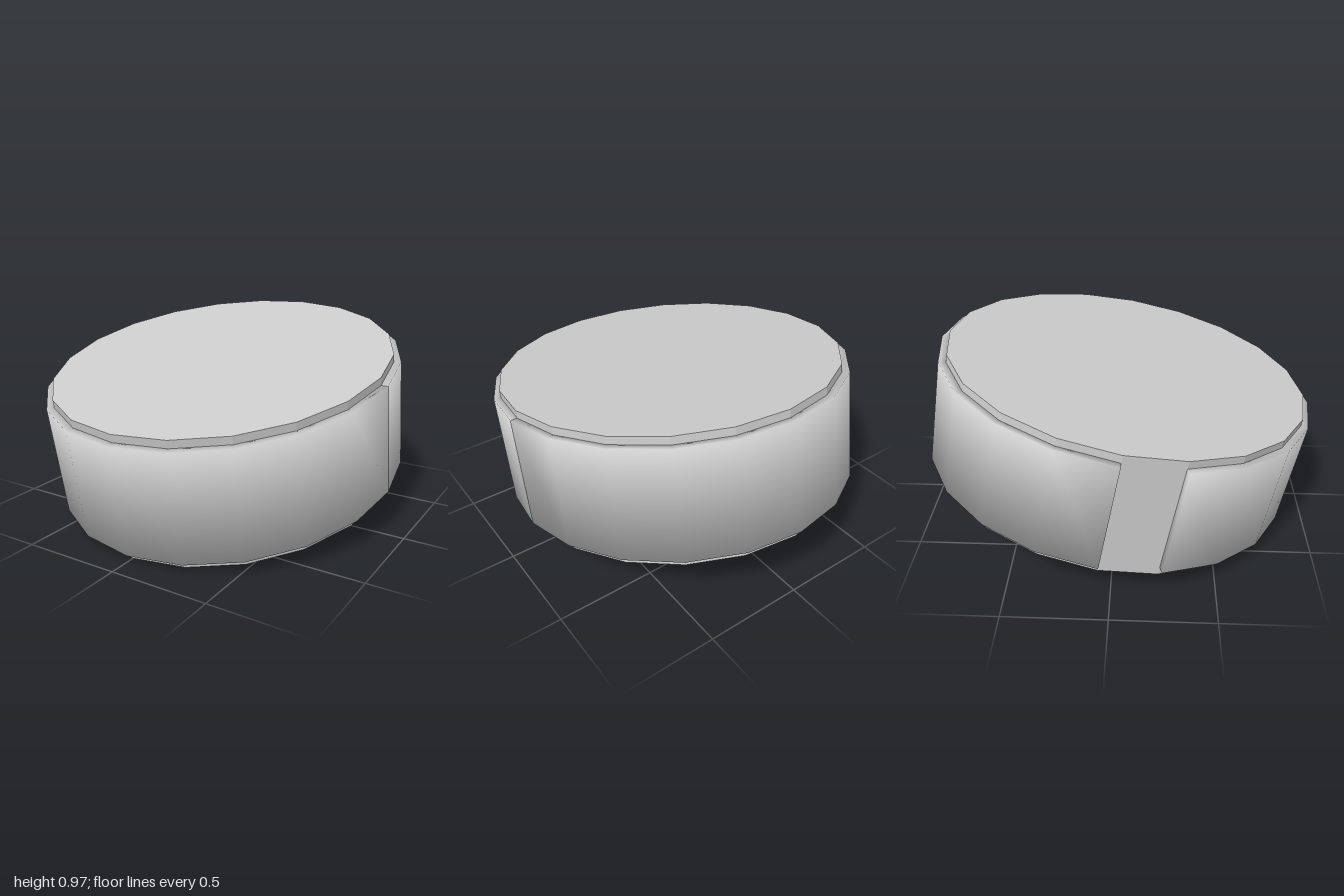
import * as THREE from 'three';

const SIDES = 20;
const STEP = (Math.PI * 2) / SIDES;
const TILT = 0.18;

// Curved band wall: a rectangular section swept around an ellipse, softly shaded across its edges
function bandGeometry(first, count) {
  const outer = [0.89, 0.963], inner = [0.852, 0.922], half = 0.285;
  const corners = [[outer, -1, 1], [outer, 1, 1], [inner, 1, -1], [inner, -1, -1]];
  const pos = [], nor = [], idx = [];
  for (let i = 0; i <= count; i++) {
    const a = (first + i) * STEP, c = Math.cos(a), s = Math.sin(a);
    const end = i === 0 ? -1 : i === count ? 1 : 0;
    for (const [r, up, out] of corners) {
      pos.push(r[0] * c, up * half, r[1] * s);
      const n = new THREE.Vector3(out * c - end * s, up, out * s + end * c).normalize();
      nor.push(n.x, n.y, n.z);
    }
  }
  const quad = (a, b, c, d) => idx.push(a, b, c, a, c, d);
  for (let i = 0; i < count; i++) {
    for (let k = 0; k < 4; k++) {
      const m = (k + 1) % 4;
      quad(i * 4 + k, i * 4 + m, i * 4 + 4 + m, i * 4 + 4 + k);
    }
  }
  quad(3, 2, 1, 0);
  const e = count * 4;
  quad(e, e + 1, e + 2, e + 3);
  const g = new THREE.BufferGeometry();
  g.setAttribute('position', new THREE.Float32BufferAttribute(pos, 3));
  g.setAttribute('normal', new THREE.Float32BufferAttribute(nor, 3));
  g.setIndex(idx);
  return g;
}

export function createModel() {
  const model = new THREE.Group();
  model.name = 'tiltedDrum';
  const add = (name, geometry, flatShading) => {
    const mesh = new THREE.Mesh(geometry, new THREE.MeshStandardMaterial({ color: 0xcccccc, flatShading }));
    mesh.name = name;
    body.add(mesh);
  };

  // Whole drum leans forward
  const body = new THREE.Group();
  body.name = 'drum';
  body.position.y = 0.487;
  body.rotation.x = TILT;
  model.add(body);

  // Oval core
  const core = new THREE.CylinderGeometry(1, 1, 0.65, SIDES);
  core.scale(0.855, 1, 0.925);
  add('core', core, true);

  // Two band halves meet at the left side; the front one stops a segment short on the right
  add('frontBand', bandGeometry(0, 9), false);
  add('backBand', bandGeometry(10, 10), false);

  return model;
}
